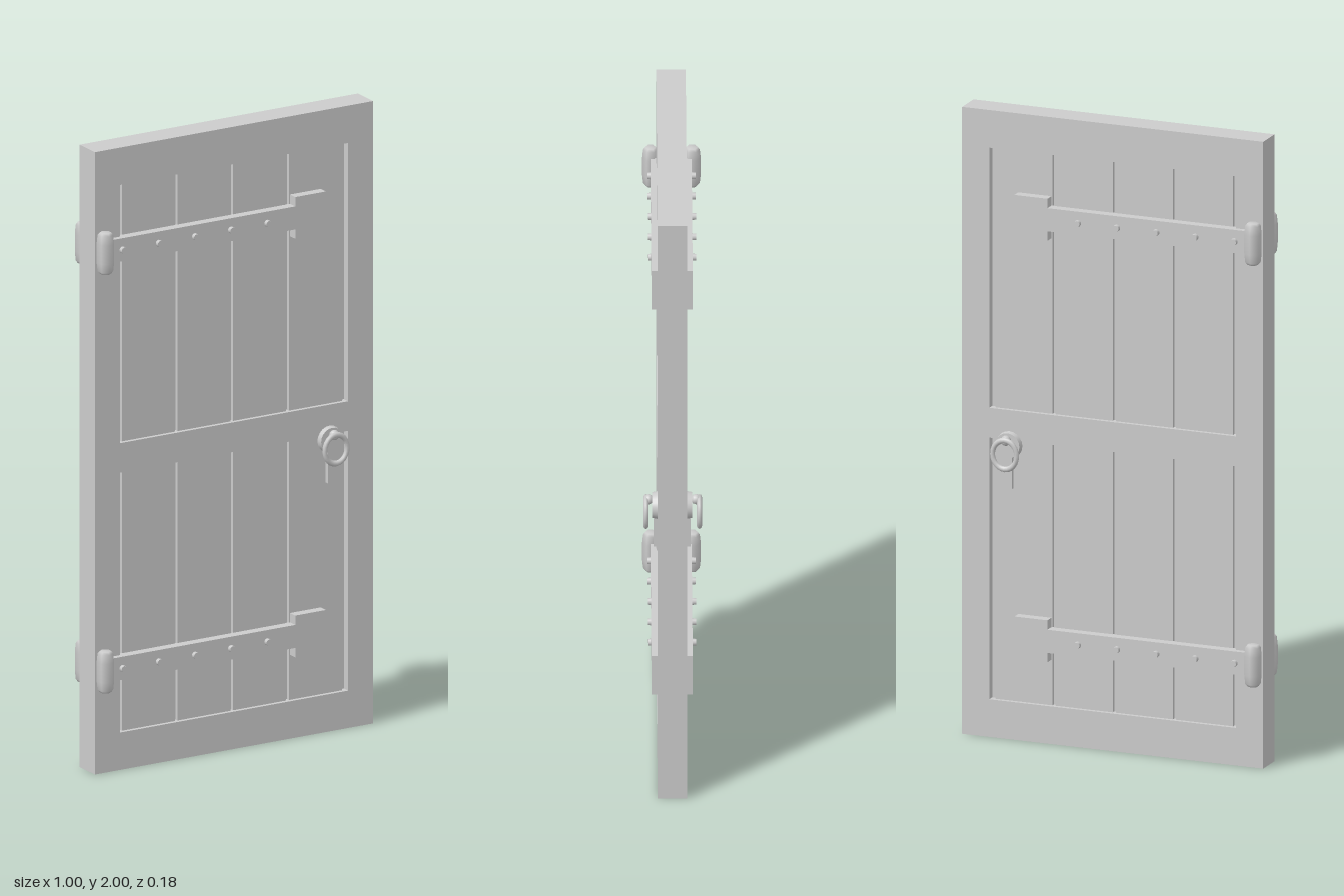
import * as THREE from 'three';

const material = new THREE.MeshStandardMaterial({ color: 0xcccccc });

function add(parent, name, geometry, x, y, z) {
  const mesh = new THREE.Mesh(geometry, material);
  mesh.name = name;
  mesh.position.set(x, y, z);
  parent.add(mesh);
  return mesh;
}

function rect(Type, x0, y0, x1, y1) {
  const r = new Type();
  r.moveTo(x0, y0);
  r.lineTo(x1, y0);
  r.lineTo(x1, y1);
  r.lineTo(x0, y1);
  r.closePath();
  return r;
}

const HALF = 0.045; // half thickness of the door
const PANELS = [[0.12, 0.955], [1.05, 1.88]];

// Frame with two openings, filled by recessed planks over a thin core
function door() {
  const g = new THREE.Group();
  g.name = 'door';
  const shape = rect(THREE.Shape, -0.5, 0, 0.5, 2);
  for (const [y0, y1] of PANELS) shape.holes.push(rect(THREE.Path, -0.41, y0, 0.41, y1));
  add(g, 'frame', new THREE.ExtrudeGeometry(shape, { depth: 2 * HALF, bevelEnabled: false }), 0, 0, -HALF);
  for (const [y0, y1] of PANELS) {
    const h = y1 - y0, y = (y0 + y1) / 2;
    add(g, 'panelCore', new THREE.BoxGeometry(0.82, h, 0.04), 0, y, 0);
    for (let i = 0; i < 4; i++) {
      add(g, 'plank', new THREE.BoxGeometry(0.19, h, 0.064), -0.3 + i * 0.2, y, 0);
    }
  }
  return g;
}

// Strap hinge on one face: knuckle, strap, end plate and rivets
function hinge(y, side) {
  const g = new THREE.Group();
  g.name = 'hinge';
  const profile = [[0, -0.066], [0.018, -0.066], [0.024, -0.058], [0.027, -0.03],
    [0.027, 0.03], [0.024, 0.058], [0.018, 0.066], [0, 0.066]]
    .map(([r, h]) => new THREE.Vector2(r, h));
  add(g, 'knuckle', new THREE.LatheGeometry(profile, 6), -0.474, y, side * 0.064);
  // straps reach back to the planks so no gap shows over the recess
  add(g, 'strap', new THREE.BoxGeometry(0.7, 0.074, 0.033), -0.14, y, side * 0.0465);
  add(g, 'endPlate', new THREE.BoxGeometry(0.11, 0.134, 0.033), 0.264, y, side * 0.0465);
  for (let i = 0; i < 5; i++) {
    const rivet = new THREE.CylinderGeometry(0.01, 0.011, 0.014, 10);
    rivet.rotateX(side * Math.PI / 2);
    add(g, 'rivet', rivet, -0.412 + i * 0.13, y, side * 0.068);
  }
  return g;
}

// Ring pull with round backplate, pivot ball and keyhole tab
function handle(side) {
  const g = new THREE.Group();
  g.name = 'handle';
  const x = 0.343;
  const plate = new THREE.CylinderGeometry(0.04, 0.043, 0.017, 20);
  plate.rotateX(side * Math.PI / 2);
  add(g, 'backplate', plate, x, 0.94, side * 0.0525);
  add(g, 'pivot', new THREE.SphereGeometry(0.016, 12, 8), x, 0.96, side * 0.073);
  const ring = add(g, 'ring', new THREE.TorusGeometry(0.04, 0.008, 8, 24), x, 0.917, side * 0.083);
  ring.scale.y = 1.15;
  add(g, 'keyTab', new THREE.BoxGeometry(0.026, 0.1, 0.013), x, 0.852, side * 0.0505);
  return g;
}

export function createModel() {
  const model = new THREE.Group();
  model.name = 'plankDoor';
  model.add(door());
  for (const side of [1, -1]) {
    for (const y of [0.332, 1.677]) model.add(hinge(y, side));
    model.add(handle(side));
  }
  return model;
}
